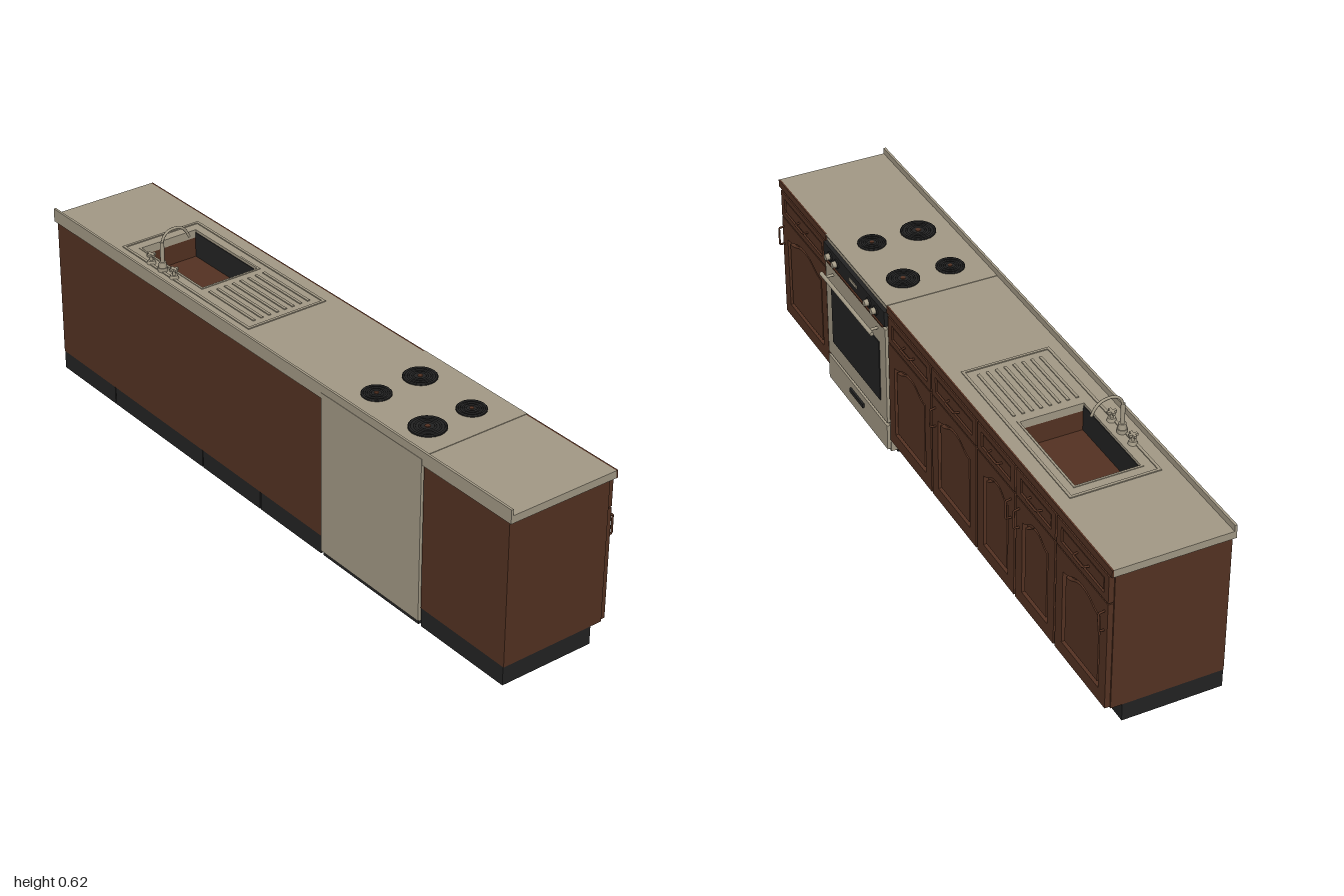
import * as THREE from 'three';

const mat = (name, color) => {
  const m = new THREE.MeshStandardMaterial({ color });
  m.name = name;
  return m;
};

export function createModel() {
  const steel = mat('warm grey', 0xa39a86);
  const wood = mat('dark wood', 0x543222);
  const black = mat('black', 0x232323);
  const root = new THREE.Group();
  root.name = 'kitchenRow';

  const group = (name) => {
    const g = new THREE.Group();
    g.name = name;
    root.add(g);
    return g;
  };
  const add = (parent, name, geo, m) => {
    const mesh = new THREE.Mesh(geo, m);
    mesh.name = name;
    parent.add(mesh);
    return mesh;
  };
  // Box given by its limits on each axis
  const box = (parent, name, m, x0, x1, y0, y1, z0, z1) => {
    const mesh = add(parent, name, new THREE.BoxGeometry(x1 - x0, y1 - y0, z1 - z0), m);
    mesh.position.set((x0 + x1) / 2, (y0 + y1) / 2, (z0 + z1) / 2);
    return mesh;
  };
  const cyl = (parent, name, m, r0, r1, h, x, y, z, axis = 'y') => {
    const geo = new THREE.CylinderGeometry(r0, r1, h, 20);
    if (axis === 'x') geo.rotateZ(Math.PI / 2);
    if (axis === 'z') geo.rotateX(-Math.PI / 2);
    const mesh = add(parent, name, geo, m);
    mesh.position.set(x, y, z);
    return mesh;
  };
  const tube = (parent, name, m, pts, r, smooth) => {
    const v = pts.map((p) => new THREE.Vector3(...p));
    let curve;
    if (smooth) curve = new THREE.CatmullRomCurve3(v);
    else {
      curve = new THREE.CurvePath();
      for (let i = 1; i < v.length; i++) curve.add(new THREE.LineCurve3(v[i - 1], v[i]));
    }
    return add(parent, name, new THREE.TubeGeometry(curve, 32, r, 8), m);
  };
  const rect = (x0, x1, y0, y1, C = THREE.Shape) => new C([[x0, y0], [x1, y0], [x1, y1], [x0, y1]]
    .map((p) => new THREE.Vector2(...p)));
  // Horizontal slab with a rectangular opening, lying between y0 and y1
  const slab = (parent, name, m, o, h, y0, y1) => {
    const s = rect(o[0], o[1], -o[3], -o[2]);
    s.holes.push(rect(h[0], h[1], -h[3], -h[2], THREE.Path));
    const geo = new THREE.ExtrudeGeometry(s, { depth: y1 - y0, bevelEnabled: false });
    geo.rotateX(-Math.PI / 2).translate(0, y0, 0);
    return add(parent, name, geo, m);
  };
  // Panel outline with an arched head
  const arched = (x0, x1, y0, y1, rise, C = THREE.Shape) => {
    const s = new C();
    const w = x1 - x0, c = (x0 + x1) / 2;
    s.moveTo(x0, y0);
    s.lineTo(x1, y0);
    s.lineTo(x1, y1 - rise);
    s.bezierCurveTo(x1 - w * 0.2, y1 - rise, x1 - w * 0.25, y1, c, y1);
    s.bezierCurveTo(x0 + w * 0.25, y1, x0 + w * 0.2, y1 - rise, x0, y1 - rise);
    s.lineTo(x0, y0);
    return s;
  };
  const plate = (parent, name, m, shape, z0, z1) => add(parent, name,
    new THREE.ExtrudeGeometry(shape, { depth: z1 - z0, bevelEnabled: false, curveSegments: 10 })
      .translate(0, 0, z0), m);

  // Cabinet bodies and plinths
  const sink = [-0.67, -0.375, -0.075, 0.11];
  const cabinets = group('cabinets');
  for (const [x0, x1] of [[-0.99, -0.72], [-0.72, -0.285], [-0.285, -0.015], [-0.015, 0.257], [0.67, 0.99]]) {
    const holdsSink = x0 === -0.72;
    box(cabinets, 'cabinetBody', wood, x0, x1, 0.055, holdsSink ? 0.42 : 0.48, -0.137, 0.185);
    if (holdsSink) slab(cabinets, 'sinkSurround', wood, [x0, x1, -0.137, 0.185], sink, 0.42, 0.48);
    box(cabinets, 'plinth', black, x0 + 0.002, x1 - 0.002, 0, 0.055, -0.103, 0.185);
  }

  // Doors and drawers: left edge, right edge, handle position
  const fronts = group('doorsAndDrawers');
  const doors = [[-0.99, -0.72, -0.97], [-0.72, -0.503, -0.525], [-0.502, -0.285, -0.48],
    [-0.285, -0.015, -0.04], [-0.015, 0.257, null], [0.67, 0.99, 0.975]];
  for (const [a, b, hx] of doors) {
    const x0 = a + 0.004, x1 = b - 0.004, c = (a + b) / 2;
    const frame = rect(x0, x1, 0.058, 0.387);
    frame.holes.push(arched(x0 + 0.035, x1 - 0.035, 0.098, 0.355, 0.03, THREE.Path));
    plate(fronts, 'doorFrame', wood, frame, -0.152, -0.137);
    plate(fronts, 'doorPanel', wood, arched(x0 + 0.046, x1 - 0.046, 0.109, 0.343, 0.028), -0.149, -0.137);
    const rim = rect(x0, x1, 0.391, 0.474);
    rim.holes.push(rect(x0 + 0.022, x1 - 0.022, 0.409, 0.456, THREE.Path));
    plate(fronts, 'drawerFrame', wood, rim, -0.152, -0.137);
    box(fronts, 'drawerPanel', wood, x0 + 0.028, x1 - 0.028, 0.415, 0.45, -0.15, -0.137);
    tube(fronts, 'drawerHandle', wood, [[c - 0.03, 0.432, -0.148], [c - 0.026, 0.432, -0.165],
      [c + 0.026, 0.432, -0.165], [c + 0.03, 0.432, -0.148]], 0.003);
    if (hx !== null) tube(fronts, 'doorHandle', wood, [[hx, 0.298, -0.15], [hx, 0.3, -0.168],
      [hx, 0.355, -0.168], [hx, 0.358, -0.15]], 0.003);
  }

  // Worktop, wooden edging and upstand
  const top = group('worktop');
  slab(top, 'worktopLong', steel, [-1, 0.26, -0.147, 0.185], sink, 0.48, 0.502);
  box(top, 'worktopShort', steel, 0.667, 1, 0.48, 0.502, -0.147, 0.185);
  box(top, 'edging', wood, -1, 0.26, 0.48, 0.502, -0.152, -0.147);
  box(top, 'edging', wood, 0.667, 1, 0.48, 0.502, -0.152, -0.147);
  box(top, 'upstand', steel, -1, 1, 0.48, 0.52, 0.183, 0.19);

  // Sink with dark lining, raised rim and draining ridges
  const basin = group('sink');
  for (const z of [sink[2], sink[3] - 0.002])
    box(basin, 'basinWall', black, sink[0], sink[1], 0.42, 0.496, z, z + 0.002);
  slab(basin, 'sinkRim', steel, [-0.71, -0.11, -0.11, 0.148], [-0.702, -0.118, -0.102, 0.14], 0.502, 0.505);
  slab(basin, 'basinRim', steel, [-0.676, -0.369, -0.081, 0.116], sink, 0.502, 0.504);
  for (let i = 0; i < 8; i++) {
    const z = -0.075 + i * 0.026;
    box(basin, 'drainRidge', steel, -0.345, -0.14, 0.502, 0.505, z - 0.004, z + 0.004);
  }

  // Swan-neck tap with two valves
  const tap = group('tap');
  const tx = -0.525;
  cyl(tap, 'tapFoot', steel, 0.014, 0.014, 0.012, tx, 0.508, 0.138);
  cyl(tap, 'tapCollar', steel, 0.01, 0.012, 0.016, tx, 0.522, 0.138);
  cyl(tap, 'tapColumn', steel, 0.006, 0.006, 0.06, tx, 0.56, 0.138);
  tube(tap, 'spout', steel, [[tx, 0.585, 0.138], [tx, 0.603, 0.132], [tx, 0.616, 0.118], [tx, 0.62, 0.098],
    [tx, 0.614, 0.073], [tx, 0.6, 0.058], [tx, 0.579, 0.047]], 0.004, true);
  for (const x of [tx - 0.055, tx + 0.055]) {
    cyl(tap, 'valveFoot', steel, 0.01, 0.013, 0.01, x, 0.507, 0.138);
    cyl(tap, 'valveStem', steel, 0.005, 0.005, 0.016, x, 0.518, 0.138);
    box(tap, 'valveGrip', steel, x - 0.013, x + 0.013, 0.525, 0.532, 0.134, 0.142);
    box(tap, 'valveGrip', steel, x - 0.004, x + 0.004, 0.525, 0.532, 0.125, 0.151);
  }

  // Cooker body
  const cooker = group('cooker');
  const L = 0.261, R = 0.666;
  box(cooker, 'cookerBody', steel, L, R, 0.012, 0.5, -0.147, 0.186);
  box(cooker, 'backPanel', steel, L + 0.001, R + 0.001, 0.015, 0.497, 0.186, 0.191);
  box(cooker, 'cookerBase', black, L + 0.004, R - 0.004, 0, 0.012, -0.125, 0.185);
  box(cooker, 'hob', steel, L, R, 0.5, 0.503, -0.152, 0.183);

  // Hot plates with coils
  for (const [x, z, r] of [[0.36, -0.055, 0.047], [0.565, -0.055, 0.041], [0.36, 0.088, 0.041], [0.565, 0.088, 0.051]]) {
    cyl(cooker, 'hotPlate', black, r, r, 0.003, x, 0.5045, z);
    for (const k of [0.9, 0.65, 0.4]) {
      const ring = add(cooker, 'coil', new THREE.TorusGeometry(r * k, 0.003, 6, 32).rotateX(Math.PI / 2), black);
      ring.position.set(x, 0.506, z);
    }
    cyl(cooker, 'plateCentre', wood, r * 0.15, r * 0.15, 0.002, x, 0.507, z);
  }

  // Control strip and knobs
  box(cooker, 'controlStrip', black, L, R, 0.435, 0.482, -0.159, -0.147);
  box(cooker, 'controlLip', wood, L + 0.01, R - 0.01, 0.429, 0.434, -0.163, -0.147);
  for (const x of [0.315, 0.36, 0.575, 0.62]) {
    cyl(cooker, 'knobBase', black, 0.014, 0.014, 0.004, x, 0.458, -0.161, 'z');
    cyl(cooker, 'knob', steel, 0.009, 0.01, 0.014, x, 0.458, -0.168, 'z');
  }
  box(cooker, 'clock', steel, 0.44, 0.49, 0.453, 0.463, -0.161, -0.159);

  // Oven door, window, bar handle and lower drawer
  box(cooker, 'ovenDoor', steel, L + 0.003, R - 0.003, 0.11, 0.422, -0.156, -0.147);
  box(cooker, 'ovenWindow', black, 0.303, 0.624, 0.165, 0.36, -0.159, -0.156);
  cyl(cooker, 'ovenHandle', steel, 0.006, 0.006, 0.34, 0.463, 0.4, -0.183, 'x');
  for (const x of [0.315, 0.611]) cyl(cooker, 'handlePost', steel, 0.004, 0.004, 0.028, x, 0.4, -0.169, 'z');
  box(cooker, 'ovenDrawer', steel, L + 0.003, R - 0.003, 0.02, 0.1, -0.157, -0.147);
  box(cooker, 'drawerGrip', black, 0.418, 0.508, 0.065, 0.078, -0.163, -0.157);

  return root;
}
